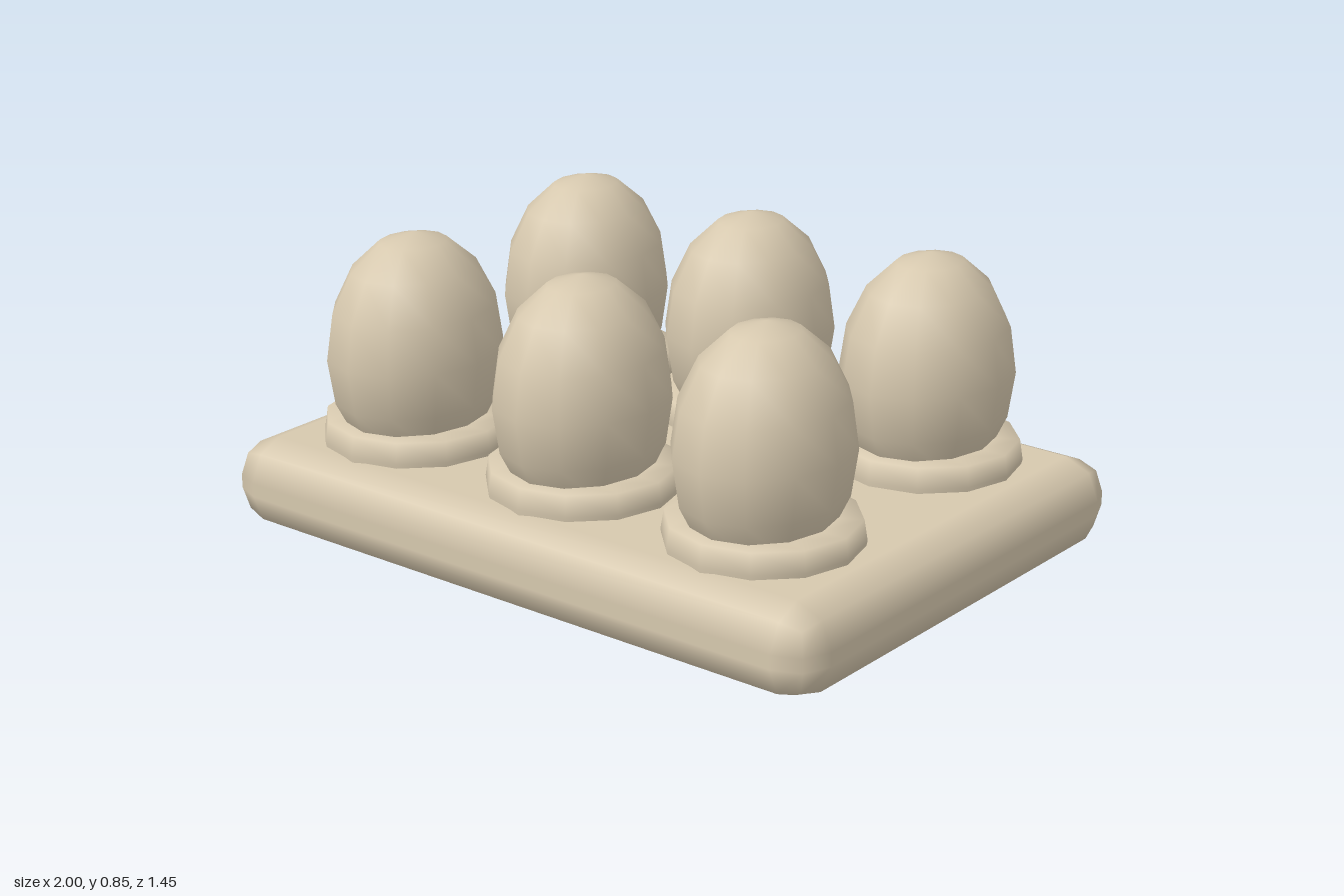
import * as THREE from 'three';
import { RoundedBoxGeometry } from 'three/addons/geometries/RoundedBoxGeometry.js';

export function createModel() {
  const model = new THREE.Group();
  model.name = 'eggTray';
  const sand = new THREE.MeshStandardMaterial({ color: 0xd6c8ae });
  sand.name = 'sand';

  const add = (name, geometry, x, y, z) => {
    const mesh = new THREE.Mesh(geometry, sand);
    mesh.name = name;
    mesh.position.set(x, y, z);
    model.add(mesh);
  };

  // Thick slab with softly rounded edges
  add('tray', new RoundedBoxGeometry(2, 0.255, 1.45, 1, 0.108), 0, 0.1275, 0);

  // Twelve-sided collar, sunk slightly into the tray
  const collarProfile = [
    [0.254, 0.21], [0.266, 0.268], [0.257, 0.325], [0.18, 0.325],
  ].map(([r, y]) => new THREE.Vector2(r, y));
  const collar = new THREE.LatheGeometry(collarProfile, 12);

  // Egg, a little deeper than it is wide
  const egg = new THREE.SphereGeometry(1, 12, 8).scale(0.228, 0.335, 0.267);

  // Two rows of three
  for (const z of [-0.364, 0.364]) {
    for (const x of [-0.6, 0, 0.6]) {
      add('collar', collar, x, 0, z);
      add('egg', egg, x, 0.51, z);
    }
  }
  return model;
}
